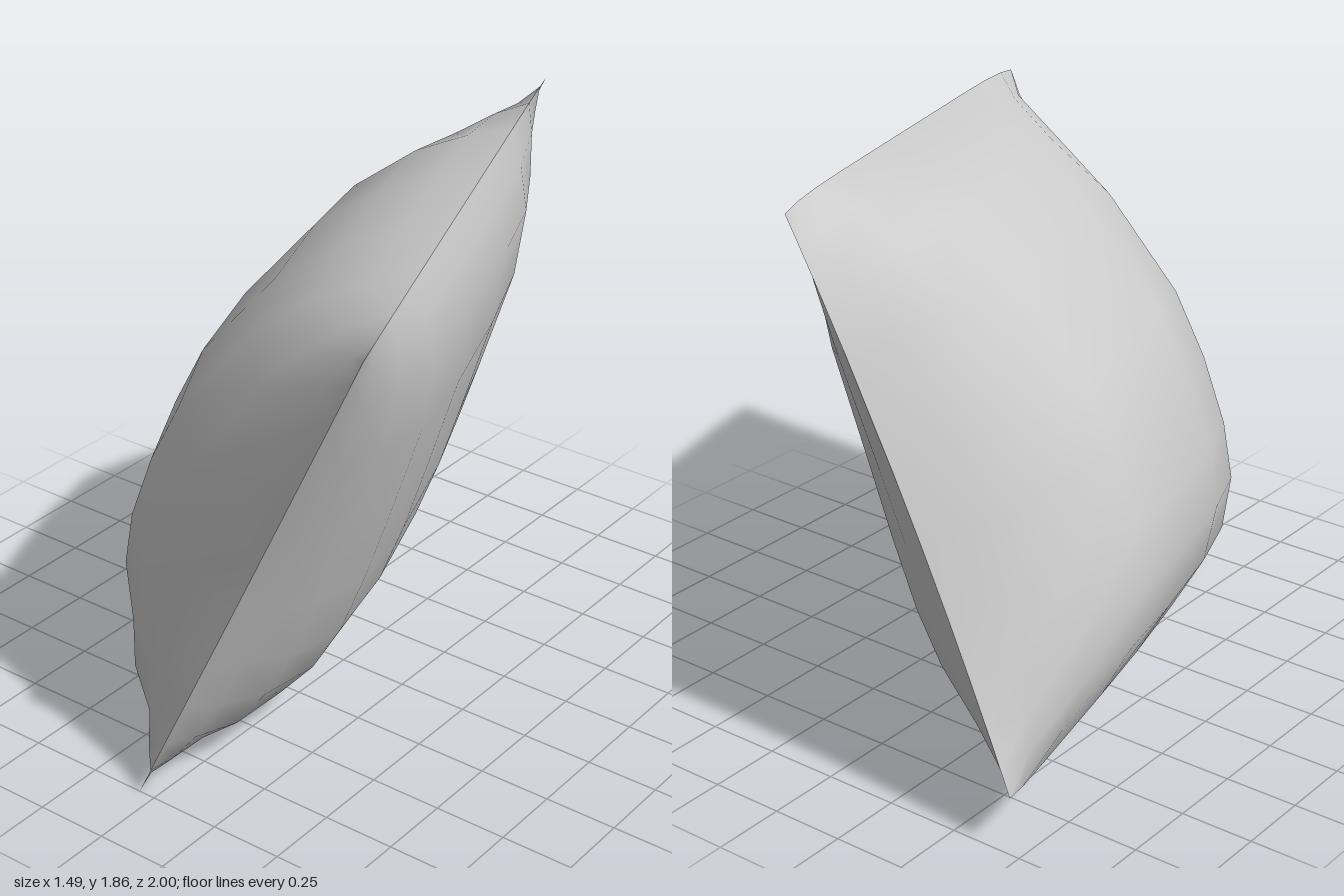
import * as THREE from 'three';

// Seam corners of the tilted cushion
const topBack = new THREE.Vector3(0.1, 1.855, -1);
const topFront = new THREE.Vector3(0.74, 1.73, 0.89);
const bottomFront = new THREE.Vector3(-0.06, 0, 1);
const bottomBack = new THREE.Vector3(-0.7, 0.18, -0.98);

// Padding profiles as [position, fullness], back to front and bottom to top
const across = [[-1, 0], [-0.9, 0.31], [-0.75, 0.66], [-0.53, 0.93], [-0.2, 1],
  [0.2, 1], [0.53, 0.91], [0.75, 0.63], [0.9, 0.28], [1, 0]];
const fullUp = [[-1, 0], [-0.9, 0.33], [-0.77, 0.65], [-0.6, 0.86], [-0.4, 0.96], [-0.15, 1],
  [0.1, 0.98], [0.5, 0.77], [0.75, 0.5], [0.9, 0.24], [1, 0]];
const flatUp = [[-1, 0], [-0.9, 0.42], [-0.77, 0.77], [-0.6, 0.94], [-0.4, 1], [-0.15, 0.96],
  [0.1, 0.88], [0.5, 0.74], [0.75, 0.53], [0.9, 0.25], [1, 0]];

// Unit normal of the fuller side
const normal = new THREE.Vector3().crossVectors(
  topFront.clone().sub(topBack), topBack.clone().sub(bottomBack)).normalize();

// Point on the seam plane: front and back edges drawn in, top and bottom eased out
function seamPoint(s, t) {
  const a = (s * (1 - 0.05 * (1 - t * t)) + 1) / 2;
  const b = (t * (1 + 0.02 * (1 - s ** 8)) + 1) / 2;
  const low = bottomBack.clone().lerp(bottomFront, a);
  return low.lerp(topBack.clone().lerp(topFront, a), b);
}

// One padded panel; height is signed along the normal
function panel(name, up, height, material) {
  const positions = [], index = [], n = across.length;
  for (const [t, ft] of up) {
    for (const [s, fs] of across) {
      positions.push(...seamPoint(s, t).addScaledVector(normal, height * fs * ft).toArray());
    }
  }
  for (let j = 0; j < up.length - 1; j++) {
    for (let i = 0; i < n - 1; i++) {
      const a = j * n + i, b = a + 1, c = b + n, d = a + n;
      if (height > 0) index.push(a, b, c, a, c, d);
      else index.push(a, c, b, a, d, c);
    }
  }
  const geometry = new THREE.BufferGeometry();
  geometry.setAttribute('position', new THREE.Float32BufferAttribute(positions, 3));
  geometry.setIndex(index);
  geometry.computeVertexNormals();
  const mesh = new THREE.Mesh(geometry, material);
  mesh.name = name;
  return mesh;
}

export function createModel() {
  const cushion = new THREE.Group();
  cushion.name = 'cushion';
  const fabric = new THREE.MeshStandardMaterial({ color: 0xcccccc });
  cushion.add(panel('fullPanel', fullUp, 0.53, fabric));
  cushion.add(panel('flatPanel', flatUp, -0.335, fabric));
  return cushion;
}
